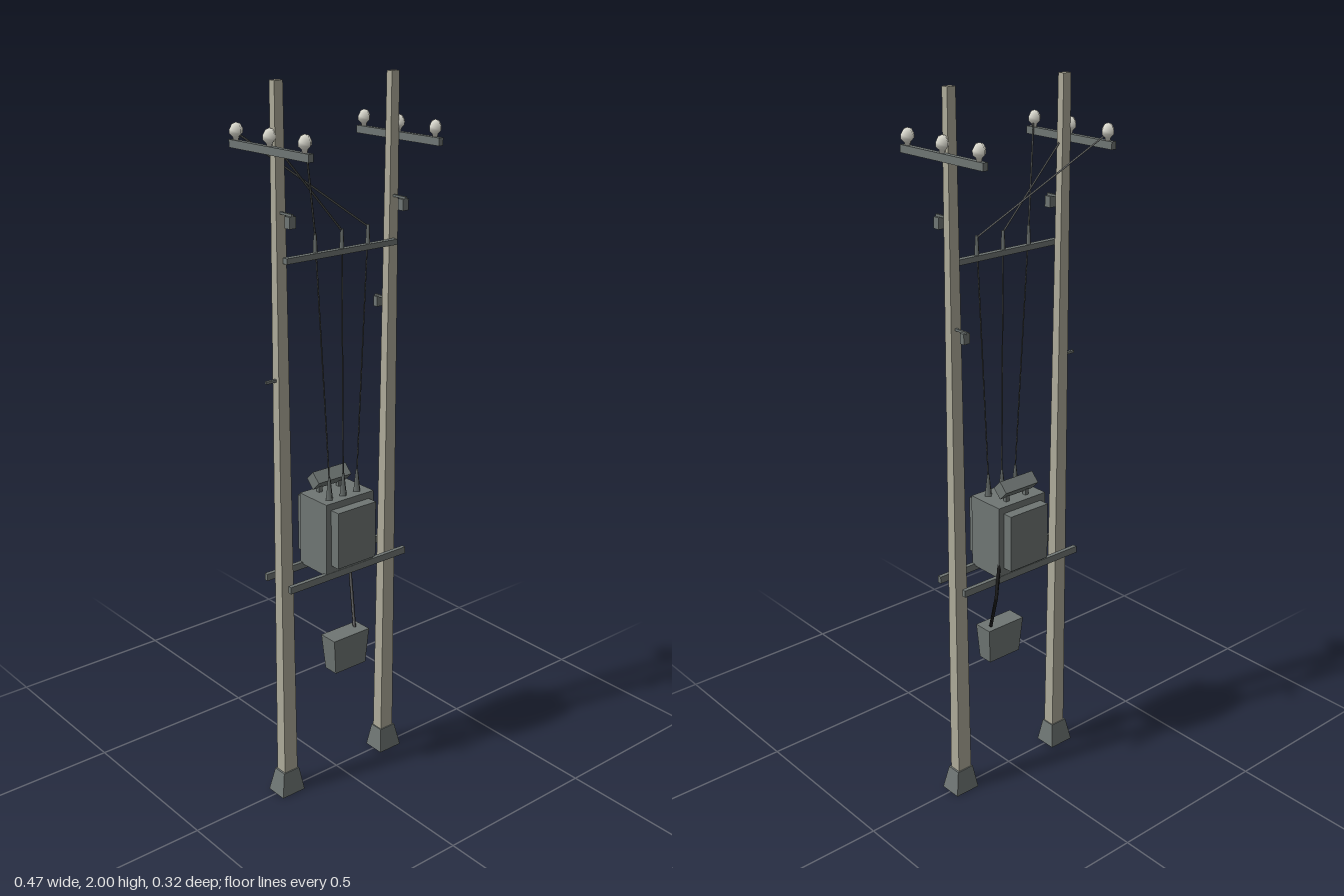
import * as THREE from 'three';

const flat = (name, color) => {
  const m = new THREE.MeshStandardMaterial({ color });
  m.name = name;
  return m;
};

export function createModel() {
  const concrete = flat('concrete', 0xaeab9a);
  const steel = flat('steel grey', 0x6f7674);
  const porcelain = flat('porcelain', 0xdcdbd0);
  const wireMat = flat('wire grey', 0x4a4d4c);
  const cableMat = flat('cable black', 0x1c1c1c);

  const root = new THREE.Group();
  root.name = 'poleMountedTransformer';

  const add = (name, geo, mat, x = 0, y = 0, z = 0) => {
    const mesh = new THREE.Mesh(geo, mat);
    mesh.name = name;
    mesh.position.set(x, y, z);
    root.add(mesh);
    return mesh;
  };
  const box = (name, mat, w, h, d, x, y, z) =>
    add(name, new THREE.BoxGeometry(w, h, d), mat, x, y, z);

  // Box from y0 to y1 whose bottom and top are [width, depth, centre x]
  const taper = (name, mat, y0, y1, bottom, top, z = 0) => {
    const geo = new THREE.BoxGeometry(1, y1 - y0, 1);
    const p = geo.attributes.position;
    for (let i = 0; i < p.count; i++) {
      const [w, d, cx] = p.getY(i) > 0 ? top : bottom;
      p.setX(i, p.getX(i) * w + cx);
      p.setZ(i, p.getZ(i) * d);
    }
    const g = geo.toNonIndexed();
    g.computeVertexNormals();
    return add(name, g, mat, 0, (y0 + y1) / 2, z);
  };

  // Straight rod between two points
  const rod = (name, mat, a, b, r) => {
    const va = new THREE.Vector3(...a), vb = new THREE.Vector3(...b);
    const dir = vb.clone().sub(va);
    const mesh = add(name, new THREE.CylinderGeometry(r, r, dir.length(), 4), mat);
    mesh.position.copy(va).add(vb).multiplyScalar(0.5);
    mesh.quaternion.setFromUnitVectors(new THREE.Vector3(0, 1, 0), dir.normalize());
    return mesh;
  };

  // Poles with footings, crossarms, insulators and lamps
  const bulb = new THREE.LatheGeometry([
    [0, -0.024], [0.008, -0.022], [0.011, -0.013], [0.021, -0.005],
    [0.021, 0.006], [0.013, 0.018], [0, 0.022],
  ].map(([x, y]) => new THREE.Vector2(x, y)), 4);
  for (const s of [-1, 1]) {
    taper('pole', concrete, 0.01, 2, [0.046, 0.036, s * 0.183], [0.026, 0.02, s * 0.188]);
    taper('footing', steel, 0, 0.07, [0.078, 0.066, s * 0.186], [0.054, 0.042, s * 0.184]);
    box('crossarm', steel, 0.015, 0.02, 0.32, s * 0.21, 1.835, 0);
    for (const z of [-0.138, 0, 0.138]) add('insulator', bulb, porcelain, s * 0.21, 1.867, z);
    box('lampArm', steel, 0.006, 0.006, 0.05, s * 0.187, 1.682, 0.033);
    box('lamp', steel, 0.02, 0.03, 0.02, s * 0.187, 1.664, 0.048);
  }
  box('rearLampArm', steel, 0.006, 0.006, 0.05, 0.187, 1.401, -0.033);
  box('rearLamp', steel, 0.02, 0.028, 0.015, 0.187, 1.386, -0.048);
  box('sideBracket', steel, 0.036, 0.007, 0.008, -0.217, 1.248, 0);

  // Horizontal beams
  box('upperBeam', steel, 0.37, 0.015, 0.016, 0, 1.562, 0.022);
  for (const z of [-0.053, 0.053]) box('lowerBeam', steel, 0.414, 0.02, 0.012, 0, 0.668, z);

  // Transformer tank, radiators and oil conservator
  box('tank', steel, 0.168, 0.212, 0.116, 0.001, 0.779, 0);
  for (const s of [-1, 1]) box('radiator', steel, 0.134, 0.165, 0.031, 0.001, 0.783, s * 0.0725);
  const tube = new THREE.CylinderGeometry(0.026, 0.026, 0.116, 4).toNonIndexed();
  tube.computeVertexNormals();
  add('conservator', tube, steel, 0, 0.922, -0.031).rotation.z = Math.PI / 2;
  for (const x of [-0.035, 0.035]) box('conservatorSupport', steel, 0.012, 0.03, 0.012, x, 0.895, -0.031);

  // Bushings, fuse posts and the wires joining them
  [-1, 0, 1].forEach((i) => {
    const x = i * 0.049, px = i * 0.088;
    add('bushing', new THREE.CylinderGeometry(0.004, 0.013, 0.065, 4), steel, x, 0.915, 0.029);
    add('fusePost', new THREE.CylinderGeometry(0.005, 0.008, 0.05, 4), steel, px, 1.595, 0.022);
    rod('dropWire', wireMat, [x, 0.94, 0.029], [px, 1.61, 0.022], 0.0025);
    rod('lineWire', wireMat, [px, 1.615, 0.022], [-0.207, 1.862, -i * 0.138], 0.003);
  });

  // Low voltage box and its cable
  taper('distributionBox', steel, 0.36, 0.467, [0.11, 0.046, 0.001], [0.128, 0.058, 0], 0.04);
  const elbow = [0.106, 0.625, -0.07];
  rod('cable', cableMat, [0.075, 0.735, -0.05], elbow, 0.005);
  rod('cable', cableMat, elbow, [0.038, 0.462, 0.036], 0.005);

  return root;
}
